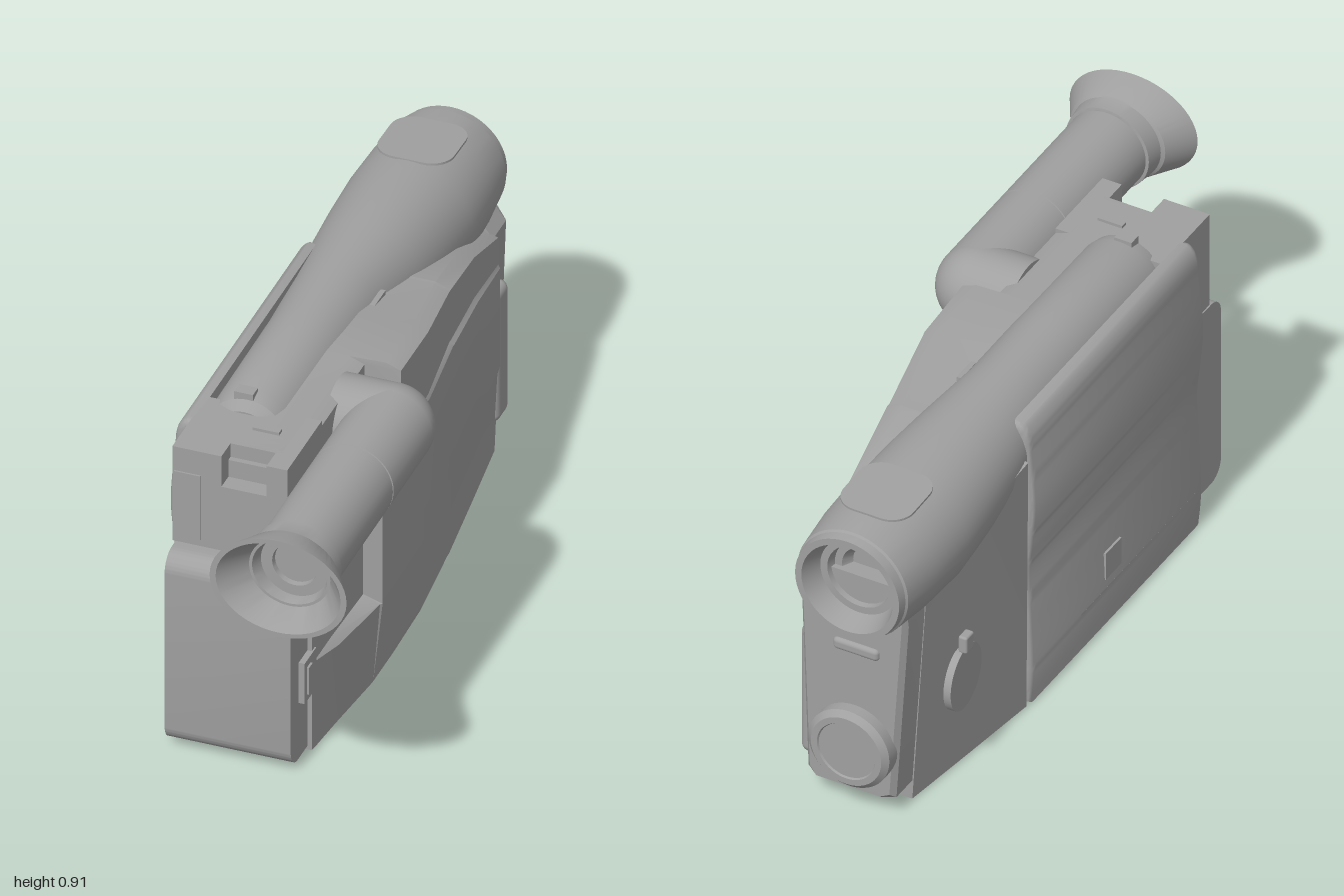
import * as THREE from 'three';
import { toCreasedNormals } from 'three/addons/utils/BufferGeometryUtils.js';
import { RoundedBoxGeometry } from 'three/addons/geometries/RoundedBoxGeometry.js';

const grey = new THREE.MeshStandardMaterial({ color: 0xa0a0a0 });
grey.name = 'plastic grey';

// Joins cross-sections { z, pts } (points counter-clockwise seen from +z) into a skin
function loft(sections, capStart = true, capEnd = true, crease = 0.5) {
  const n = sections[0].pts.length, pos = [], idx = [];
  for (const s of sections) for (const [x, y] of s.pts) pos.push(x, y, s.z);
  for (let i = 0; i < sections.length - 1; i++) {
    for (let j = 0; j < n; j++) {
      const a = i * n + j, b = i * n + (j + 1) % n;
      idx.push(a, b, b + n, a, b + n, a + n);
    }
  }
  const cap = (k, flip) => {
    const v = sections[k].pts.map(([x, y]) => new THREE.Vector2(x, y));
    for (const [a, b, c] of THREE.ShapeUtils.triangulateShape(v, [])) {
      const o = k * n;
      idx.push(o + a, o + (flip ? c : b), o + (flip ? b : c));
    }
  };
  if (capStart) cap(0, true);
  if (capEnd) cap(sections.length - 1, false);
  const g = new THREE.BufferGeometry();
  g.setAttribute('position', new THREE.Float32BufferAttribute(pos, 3));
  g.setIndex(idx);
  return toCreasedNormals(g, crease);
}

// Elliptical cross-section
function oval(z, cx, cy, rx, ry = rx, n = 48) {
  const pts = [];
  for (let i = 0; i < n; i++) {
    const a = (i / n) * Math.PI * 2;
    pts.push([cx + rx * Math.cos(a), cy + ry * Math.sin(a)]);
  }
  return { z, pts };
}

function roundedRect(x0, y0, x1, y1, r) {
  const s = new THREE.Shape();
  s.absarc(x1 - r, y0 + r, r, -Math.PI / 2, 0);
  s.absarc(x1 - r, y1 - r, r, 0, Math.PI / 2);
  s.absarc(x0 + r, y1 - r, r, Math.PI / 2, Math.PI);
  s.absarc(x0 + r, y0 + r, r, Math.PI, Math.PI * 1.5);
  s.closePath();
  return s;
}

export function createModel() {
  const model = new THREE.Group();
  const add = (name, geo, x = 0, y = 0, z = 0) => {
    const m = new THREE.Mesh(geo, grey);
    m.name = name;
    m.position.set(x, y, z);
    model.add(m);
    return m;
  };
  const box = (name, x0, x1, y0, y1, z0, z1, r = 0) => {
    const d = [x1 - x0, y1 - y0, z1 - z0];
    const g = r ? new RoundedBoxGeometry(...d, 4, r) : new THREE.BoxGeometry(...d);
    return add(name, g, (x0 + x1) / 2, (y0 + y1) / 2, (z0 + z1) / 2);
  };
  const extrude = (shape, depth, bevel = 0) => toCreasedNormals(new THREE.ExtrudeGeometry(shape, {
    depth, curveSegments: 8, bevelEnabled: bevel > 0, bevelSize: bevel, bevelThickness: bevel, bevelOffset: -bevel, bevelSegments: 4,
  }), 0.6);

  // Main body: left wall, floor edges, right wall, viewfinder notch and sloping roof
  const rows = [
    // z, left, floorLeft, floorRight, lowWall, wall, notchY, upperWall, roof
    [-0.83, -0.29, -0.25, 0.02, 0.03, 0.035, 0.55, 0.03, 0.64],
    [-0.6, -0.31, -0.28, 0.05, 0.06, 0.065, 0.6, 0.055, 0.73],
    [-0.36, -0.315, -0.31, 0.08, 0.09, 0.095, 0.63, 0.085, 0.79],
    [-0.35, -0.27, -0.27, 0.08, 0.09, 0.095, 0.63, 0.085, 0.79],
    [-0.1, -0.27, -0.27, 0.105, 0.13, 0.13, 0.64, 0.125, 0.835],
    [0.1, -0.27, -0.27, 0.11, 0.135, 0.135, 0.64, 0.13, 0.845],
    [0.105, -0.27, -0.27, 0.11, 0.135, 0.135, 0.64, 0.035, 0.845],
    [0.24, -0.27, -0.27, 0.11, 0.135, 0.135, 0.64, 0.035, 0.845],
    [0.245, -0.27, -0.27, 0.11, 0.13, 0.085, 0.64, 0.035, 0.845],
    [0.45, -0.27, -0.27, 0.09, 0.1, 0.08, 0.64, 0.035, 0.845],
    [0.575, -0.27, -0.27, 0.08, 0.08, 0.08, 0.64, 0.035, 0.845],
  ];
  add('body', loft(rows.map(([z, l, fl, fr, lw, w, ny, uw, top]) => ({
    z,
    pts: [[fl, 0.003], [fr, 0.003], [lw, 0.24], [w, 0.26], [w, ny], [uw, ny + 0.01],
      [uw, top], [uw - 0.04, top + 0.015], [-0.16, top + 0.015], [l, Math.min(top + 0.01, 0.76)]],
  })), true, true, 0.4));

  // Lens barrel with its recessed, stepped lens, flowing into the top spine
  const [lx, ly] = [-0.16, 0.73];
  add('lensBarrel', loft([
    oval(-0.88, lx, ly, 0.05), oval(-0.91, lx, ly, 0.065), oval(-0.91, lx, ly, 0.085),
    oval(-0.94, lx, ly, 0.09), oval(-0.94, lx, ly, 0.11), oval(-1, lx, ly, 0.13),
    oval(-1, lx, ly, 0.148), oval(-0.975, lx, ly, 0.152), oval(-0.97, lx, ly, 0.157),
    oval(-0.85, lx, ly, 0.17), oval(-0.7, lx, ly, 0.175), oval(-0.55, lx, 0.74, 0.165, 0.17),
    oval(-0.4, lx, 0.75, 0.152, 0.157), oval(-0.2, lx, 0.77, 0.125, 0.135),
    oval(0, lx + 0.005, 0.78, 0.118, 0.122), oval(0.38, lx + 0.005, 0.78, 0.115, 0.12),
    oval(0.42, lx + 0.005, 0.78, 0.108, 0.11), oval(0.44, lx + 0.005, 0.78, 0.085, 0.085),
  ]));
  const hatch = add('barrelHatch', extrude(roundedRect(-0.1, -0.1, 0.1, 0.1, 0.06), 0.006), lx, 0.898, -0.8);
  hatch.rotation.x = -Math.PI / 2 - 0.04;
  box('zoomSlider', -0.052, -0.038, 0.8, 0.84, -0.23, -0.06);

  // Nose panel under the lens, with lamp slot, dial and side bar
  const nose = (z, e) => ({ z, pts: [[-0.25 + e, 0.06 + e], [-0.21, 0.045 + e], [-0.03, 0.045 + e],
    [0.0 - e, 0.07 + e], [0.02 - e, 0.64], [-0.04, 0.72], [-0.28, 0.72], [-0.285 + e, 0.6]] });
  add('nosePanel', loft([nose(-0.925, 0.012), nose(-0.91, 0), nose(-0.82, 0)], true, true, 0.5));
  box('sideBar', -0.02, 0.035, 0.09, 0.48, -0.9, -0.81, 0.024);
  box('lampSlot', -0.21, -0.08, 0.475, 0.51, -0.935, -0.91, 0.012);
  add('noseDial', loft([oval(-0.965, -0.14, 0.2, 0.08), oval(-0.97, -0.14, 0.2, 0.083),
    oval(-0.97, -0.14, 0.2, 0.1), oval(-0.955, -0.14, 0.2, 0.115), oval(-0.9, -0.14, 0.2, 0.115)]));

  // Round cover with its tab on the left of the nose
  const disc = new THREE.CylinderGeometry(0.09, 0.09, 0.02, 40).rotateZ(Math.PI / 2);
  add('sideCover', disc, -0.297, 0.29, -0.66).rotation.y = 0.07;
  box('sideCoverTab', -0.32, -0.295, 0.375, 0.425, -0.68, -0.64, 0.006);

  // Cassette door with a gently waved outer face
  const door = new THREE.Shape();
  door.moveTo(-0.262, 0);
  door.lineTo(-0.262, 0.86);
  door.lineTo(-0.282, 0.86);
  door.quadraticCurveTo(-0.312, 0.845, -0.313, 0.79);
  door.splineThru([[-0.326, 0.62], [-0.318, 0.5], [-0.309, 0.4], [-0.315, 0.25], [-0.32, 0.1], [-0.312, 0]]
    .map(([x, y]) => new THREE.Vector2(x, y)));
  add('cassetteDoor', extrude(door, 0.83, 0.02), 0, 0, -0.33);
  box('doorWindow', -0.322, -0.31, 0.15, 0.23, 0.02, 0.1);
  box('doorRidge', -0.32, -0.31, 0.115, 0.121, -0.1, 0.48);

  // Top block at the front with its notch and inset panel
  box('topBlock', -0.27, 0.035, 0.58, 0.86, 0.4, 0.565);
  const face = new THREE.Shape([[-0.27, 0.58], [0.08, 0.58], [0.08, 0.64], [0.035, 0.65], [0.035, 0.86], [-0.02, 0.86],
    [-0.02, 0.77], [-0.14, 0.77], [-0.14, 0.86], [-0.27, 0.86]].map(([x, y]) => new THREE.Vector2(x, y)));
  add('frontBlock', extrude(face, 0.075), 0, 0, 0.563);
  box('notchStep', -0.14, -0.02, 0.77, 0.82, 0.56, 0.59);
  box('insetPanel', -0.265, -0.195, 0.6, 0.79, 0.636, 0.643);
  box('topSwitch', -0.19, -0.14, 0.88, 0.907, 0.385, 0.42);
  box('topButton', -0.11, -0.04, 0.85, 0.868, 0.48, 0.5);

  // Battery pack with rounded upper and lower edges
  const pack = extrude(roundedRect(-0.7, 0.015, -0.52, 0.57, 0.05), 0.335).rotateY(Math.PI / 2);
  add('batteryPack', pack, -0.267, 0, 0);
  box('batteryLatch', 0.06, 0.084, 0.18, 0.3, 0.565, 0.645);
  box('latchButton', 0.08, 0.09, 0.2, 0.28, 0.605, 0.63);
  box('batteryFrame', -0.27, 0.08, 0.005, 0.585, 0.57, 0.585);

  // Viewfinder: elbow from the body, tube with a joint, flared oval eyecup
  const [vx, vy] = [0.15, 0.76];
  add('viewfinderArm', new THREE.CylinderGeometry(0.11, 0.11, 0.14, 48).rotateZ(Math.PI / 2), 0.08, vy, 0.22);
  add('viewfinderElbow', new THREE.SphereGeometry(0.11, 48, 32), vx, vy, 0.22);
  add('viewfinderTube', loft([
    oval(0.22, vx, vy, 0.11), oval(0.488, vx, vy, 0.11), oval(0.489, vx, vy, 0.107),
    oval(0.493, vx, vy, 0.107), oval(0.494, vx, vy, 0.11), oval(0.88, vx, vy, 0.11),
  ], false, false));
  add('eyecup', loft([
    oval(0.865, vx, vy, 0.108), oval(0.867, vx, vy, 0.118), oval(0.915, vx, vy, 0.125, 0.118),
    oval(0.92, vx, vy, 0.135, 0.12), oval(1, vx, vy, 0.182, 0.142), oval(1, vx, vy, 0.166, 0.13),
    oval(0.92, vx, vy, 0.108, 0.1), oval(0.92, vx, vy, 0.1, 0.093), oval(0.885, vx, vy, 0.09),
    oval(0.885, vx, vy, 0.06), oval(0.87, vx, vy, 0.058),
  ]));
  return model;
}
